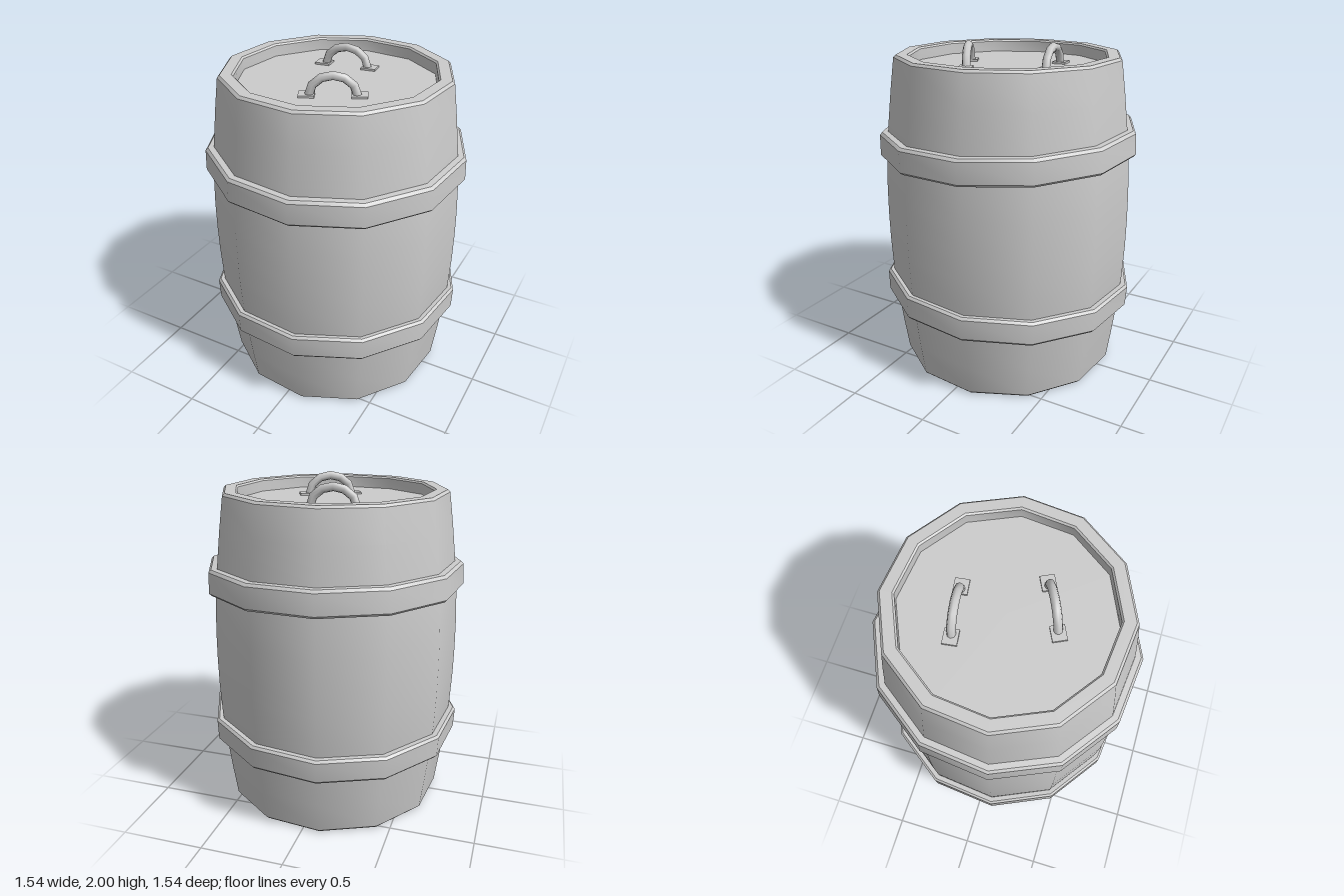
import * as THREE from 'three';
import { toCreasedNormals } from 'three/addons/utils/BufferGeometryUtils.js';

const SIDES = 12;
const TURN = 0.157; // turns the twelve sides slightly about the axis
const HEIGHT = 1.935;
const RECESS = 0.075;
const INNER = 0.585;
const material = new THREE.MeshStandardMaterial({ color: 0xcccccc });

function mesh(name, geometry) {
  const m = new THREE.Mesh(geometry, material);
  m.name = name;
  return m;
}

// Twelve-sided lathe: smooth around, sharp at bevels and corners
function turned(name, profile) {
  const points = profile.map(([r, y]) => new THREE.Vector2(r, y));
  return mesh(name, toCreasedNormals(new THREE.LatheGeometry(points, SIDES, TURN), 0.6));
}

// Flat recessed head closing one end
function head(name, y, up) {
  const geometry = new THREE.CircleGeometry(INNER, SIDES, up ? TURN : -TURN);
  geometry.rotateX(up ? -Math.PI / 2 : Math.PI / 2);
  const m = mesh(name, geometry);
  m.position.y = y;
  return m;
}

// Iron band, tilted a little; flip mirrors it for the lower half
function hoop(name, y, flip) {
  const profile = [
    [0.69, -0.072], [0.768, -0.076], [0.782, -0.062],
    [0.777, 0.06], [0.762, 0.076], [0.69, 0.08], [0.69, -0.072],
  ];
  const band = flip ? profile.map(([r, h]) => [r, -h]).reverse() : profile;
  const m = turned(name, band);
  const s = flip ? -1 : 1;
  m.position.y = y;
  m.rotation.set(0.024 * s, 0, -0.017 * s);
  return m;
}

// Arched handle with a small plate under each foot
function handle(name, x, z, angle) {
  const group = new THREE.Group();
  group.name = name;
  const path = new THREE.CurvePath();
  const points = [];
  for (let i = 0; i <= 6; i++) {
    const a = Math.PI * (1 - i / 6);
    points.push(new THREE.Vector3(0.133 * Math.cos(a), 0.115 * Math.sin(a), 0));
  }
  const curve = new THREE.CatmullRomCurve3(points);
  group.add(mesh('handleBar', new THREE.TubeGeometry(curve, 6, 0.025, 8)));
  for (const s of [-1, 1]) {
    const plate = mesh('handlePlate', new THREE.BoxGeometry(0.09, 0.016, 0.08));
    plate.position.set(0.145 * s, 0.004, 0);
    group.add(plate);
  }
  group.position.set(x, HEIGHT - RECESS, z);
  group.rotation.y = angle;
  return group;
}

export function createModel() {
  const barrel = new THREE.Group();
  barrel.name = 'barrel';

  // Bulging wall with bevelled rims at both ends
  const half = [
    [INNER, RECESS], [INNER, 0.01], [0.595, 0], [0.66, 0], [0.674, 0.014],
    [0.7, 0.2], [0.724, 0.4], [0.744, 0.6], [0.753, 0.8],
  ];
  const wall = [
    ...half, [0.755, HEIGHT / 2],
    ...half.map(([r, y]) => [r, HEIGHT - y]).reverse(),
  ];
  barrel.add(turned('wall', wall));

  barrel.add(head('lid', HEIGHT - RECESS, true));
  barrel.add(head('bottom', RECESS, false));

  barrel.add(hoop('upperHoop', 1.43, false));
  barrel.add(hoop('lowerHoop', 0.488, true));

  barrel.add(handle('backHandle', -0.07, -0.255, 0.13));
  barrel.add(handle('frontHandle', 0.095, 0.222, 0.45));
  return barrel;
}
